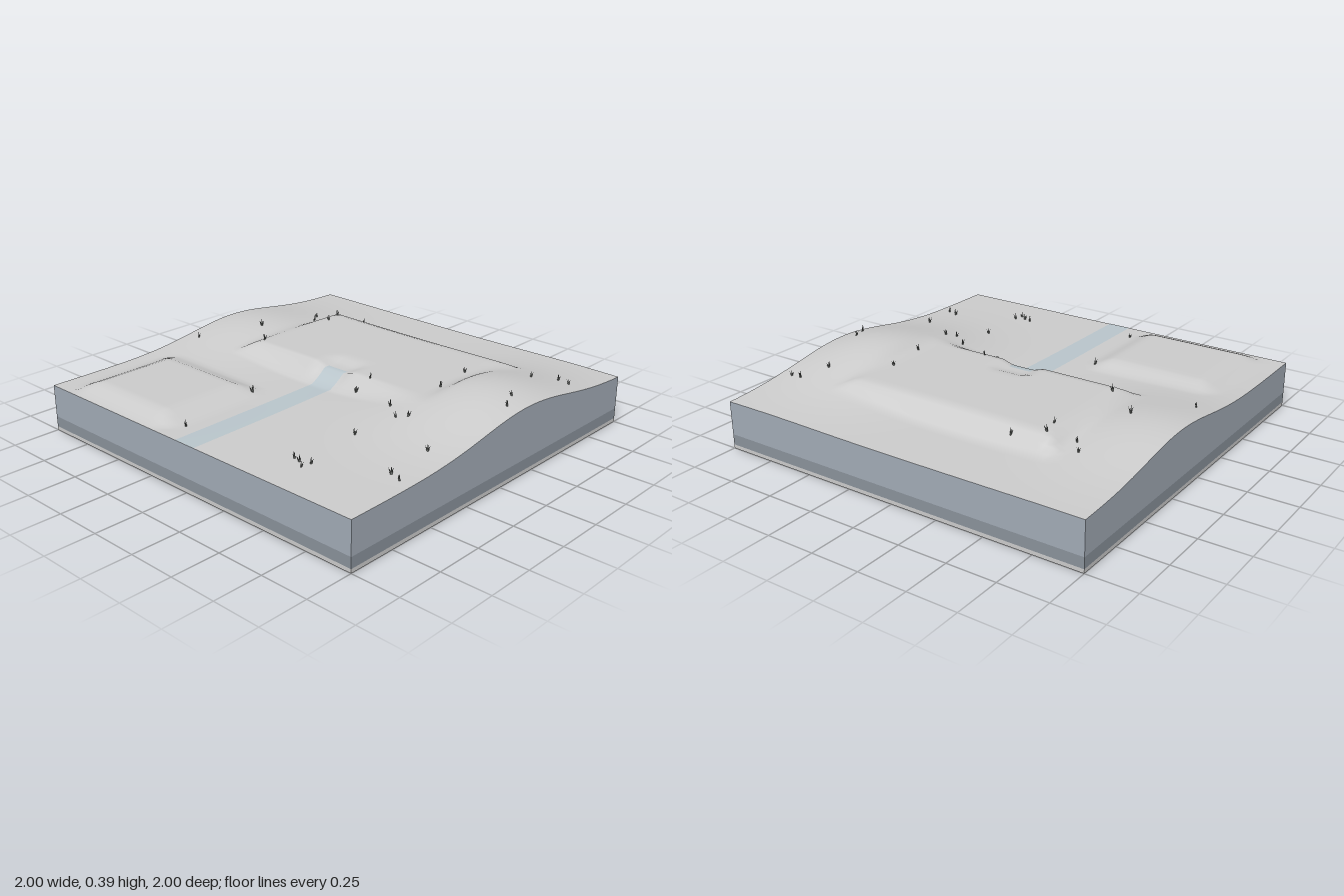
import * as THREE from 'three';
import { mergeGeometries } from 'three/addons/utils/BufferGeometryUtils.js';

const SEG = 64;
const BAND_TOP = 0.075;

const hill = (x, z, cx, cz, sx, sz, a) =>
  a * Math.exp(-((x - cx) ** 2) / (2 * sx * sx) - ((z - cz) ** 2) / (2 * sz * sz));

// 1 inside a rectangle, falling to 0 over the margin m
function padMask(x, z, cx, cz, hx, hz, m, rounded) {
  const dx = Math.max(Math.abs(x - cx) - hx, 0);
  const dz = Math.max(Math.abs(z - cz) - hz, 0);
  const d = rounded ? Math.hypot(dx, dz) : Math.max(dx, dz);
  return Math.max(0, 1 - d / m);
}

// Ground height: two hills, two levelled pads and a small notch above the path
function height(x, z) {
  let h = 0.242 + 0.004 * Math.sin(2.1 * x + 0.6) * Math.cos(1.7 * z);
  h += hill(x, z, 0.75, -0.2, 0.3, 0.33, 0.135);
  h += hill(x, z, -0.85, -0.2, 0.31, 0.3, 0.09);
  h = THREE.MathUtils.lerp(h, 0.33, padMask(x, z, 0, -0.275, 0.55, 0.31, 0.08, false));
  h = THREE.MathUtils.lerp(h, 0.285, padMask(x, z, -0.53, 0.66, 0.26, 0.22, 0.1, true));
  return h - 0.02 * padMask(x, z, 0, 0, 0.06, 0.05, 0.06, true);
}

function drape(geometry, lift = 0) {
  const p = geometry.attributes.position;
  for (let i = 0; i < p.count; i++) p.setY(i, height(p.getX(i), p.getZ(i)) + lift);
  geometry.computeVertexNormals();
  return geometry;
}

export function createModel() {
  const group = new THREE.Group();
  const material = (color) => new THREE.MeshStandardMaterial({ color });
  const add = (name, geometry, mat) => {
    const mesh = new THREE.Mesh(geometry, mat);
    mesh.name = name;
    group.add(mesh);
    return mesh;
  };
  const grey = material(0xcccccc);

  // Ground surface
  add('ground', drape(new THREE.PlaneGeometry(2, 2, SEG, SEG).rotateX(-Math.PI / 2)), grey);

  // Path draped over the ground, on the same grid spacing
  const path = new THREE.PlaneGeometry(0.125, 1, 4, SEG / 2).rotateX(-Math.PI / 2).translate(0, 0, 0.5);
  add('path', drape(path, 0.001), material(0xb9c5cb));

  // Cut earth walls following the rim of the ground
  const walls = [];
  for (let k = 0; k < 4; k++) {
    const g = new THREE.PlaneGeometry(2, 1, SEG, 1).translate(0, 0, 1).rotateY((k * Math.PI) / 2);
    const p = g.attributes.position;
    for (let i = 0; i < p.count; i++) {
      p.setY(i, p.getY(i) > 0 ? height(p.getX(i), p.getZ(i)) : BAND_TOP);
    }
    g.computeVertexNormals();
    walls.push(g);
  }
  add('earthWalls', mergeGeometries(walls), material(0xa2abb6));

  // Lower strata
  add('lowerLayer', new THREE.BoxGeometry(2, BAND_TOP - 0.02, 2), material(0x8a929b))
    .position.y = (BAND_TOP + 0.02) / 2;
  add('basePlate', new THREE.BoxGeometry(2, 0.02, 2), grey).position.y = 0.01;

  // Grass tufts: three leaning blades each
  const blades = [-0.45, 0, 0.45].map((lean, i) => {
    const tall = i === 1 ? 0.038 : 0.032;
    return new THREE.ConeGeometry(0.005, tall, 4)
      .translate(0, tall / 2 - 0.003, 0)
      .rotateZ(lean)
      .rotateY(i * 0.5);
  });
  const tuft = mergeGeometries(blades);
  const tuftMaterial = material(0x6b6f6b);
  const spots = [
    [-0.7, -0.57], [-0.65, -0.5], [-0.53, -0.56], [-0.51, -0.47], [-0.38, -0.62],
    [-0.73, -0.17], [-0.91, 0.13], [-0.54, -0.01], [-0.2, 0.4], [-0.14, 0.87],
    [0.21, 0.1], [0.23, 0.02], [0.51, 0.44], [0.47, 0.15], [0.57, 0.23], [0.62, 0.2],
    [0.55, -0.12], [0.52, -0.35], [0.94, -0.11], [0.9, -0.2], [0.78, -0.54],
    [0.86, -0.66], [0.92, -0.66], [0.46, 0.77], [0.5, 0.78], [0.54, 0.81], [0.55, 0.76],
    [0.87, 0.61], [0.93, 0.63], [0.87, 0.37],
  ];
  spots.forEach(([x, z], i) => {
    const mesh = add('grassTuft', tuft, tuftMaterial);
    mesh.position.set(x, height(x, z), z);
    mesh.rotation.y = i * 1.3;
    mesh.scale.setScalar(0.85 + 0.3 * ((i * 0.37) % 1));
  });

  return group;
}
